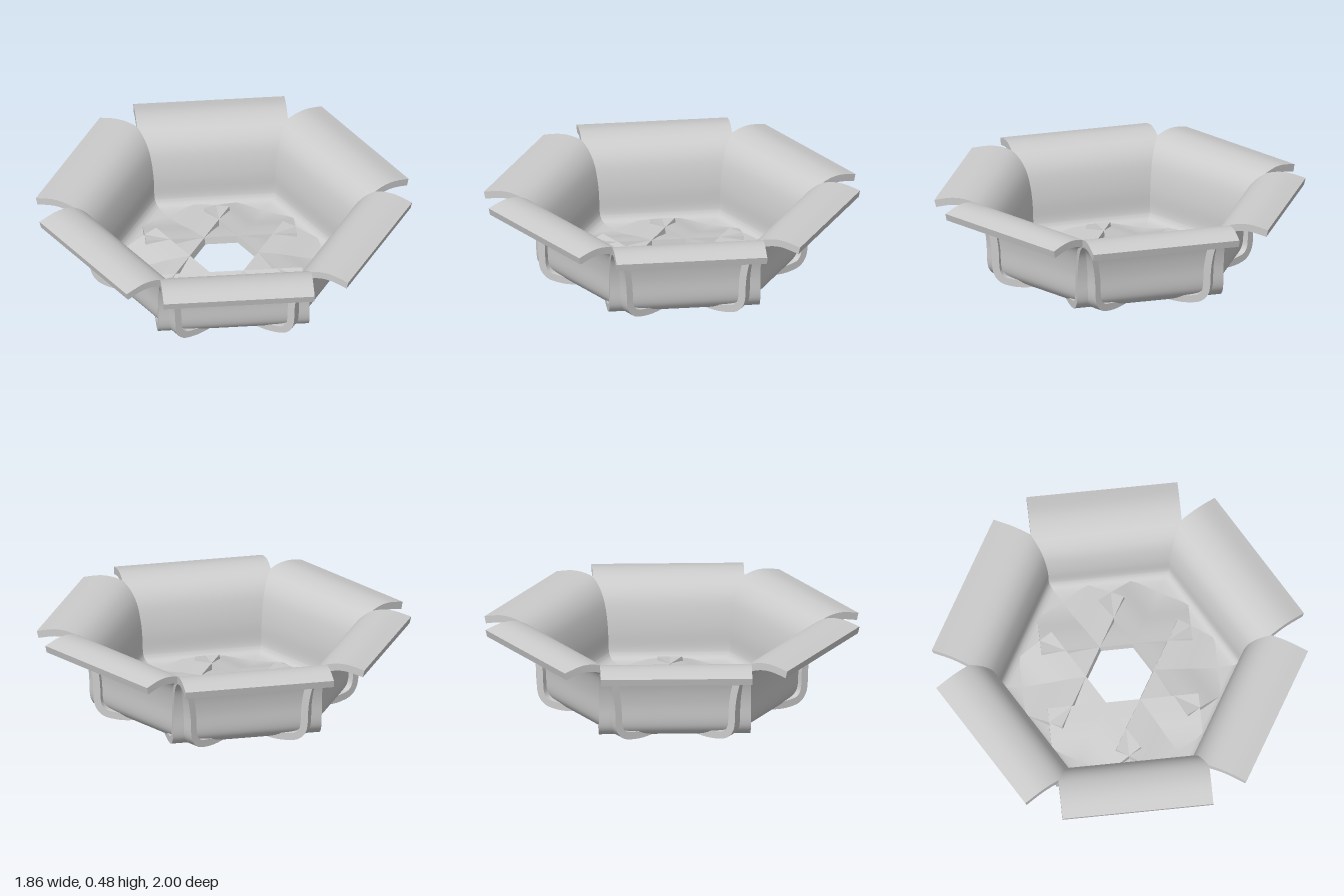
import * as THREE from 'three';
import { toCreasedNormals } from 'three/addons/utils/BufferGeometryUtils.js';

const PANELS = 6, WIDTH = 0.81, THICKNESS = 0.04, TWIST = 0.023;

// Underside of one panel as (radius, height): raised hub edge, floor, wall, flared rim
const UNDERSIDE = [
  [0.15, 0.062], [0.25, 0.042], [0.35, 0.014], [0.43, 0.001], [0.5, 0.003],
  [0.55, 0.016], [0.585, 0.05], [0.6, 0.1], [0.605, 0.2], [0.62, 0.29],
  [0.645, 0.36], [0.69, 0.41], [0.75, 0.433], [0.82, 0.436], [0.91, 0.415],
];

function panelGeometry() {
  const curve = new THREE.SplineCurve(UNDERSIDE.map(([r, y]) => new THREE.Vector2(r, y)));
  const lower = [], upper = [];
  const steps = 56;
  for (let i = 0; i <= steps; i++) {
    const p = curve.getPoint(i / steps), t = curve.getTangent(i / steps);
    lower.push(p);
    // Upper face lies one thickness along the normal
    upper.push(new THREE.Vector2(p.x - t.y * THICKNESS, p.y + t.x * THICKNESS));
  }
  const section = new THREE.Shape([...lower, ...upper.reverse()]);
  const geometry = new THREE.ExtrudeGeometry(section, { depth: WIDTH, bevelEnabled: false });
  geometry.translate(0, 0, -WIDTH / 2);
  return toCreasedNormals(geometry, 0.7);
}

export function createModel() {
  const bowl = new THREE.Group();
  bowl.name = 'sixPanelBowl';
  const material = new THREE.MeshStandardMaterial({ color: 0xcccccc });
  const geometry = panelGeometry();

  // Identical bent panels overlap across the floor around a hexagonal hole
  for (let i = 0; i < PANELS; i++) {
    const panel = new THREE.Mesh(geometry, material);
    panel.name = `bentPanel${i + 1}`;
    panel.rotation.y = TWIST + (i * Math.PI * 2) / PANELS;
    bowl.add(panel);
  }
  return bowl;
}
